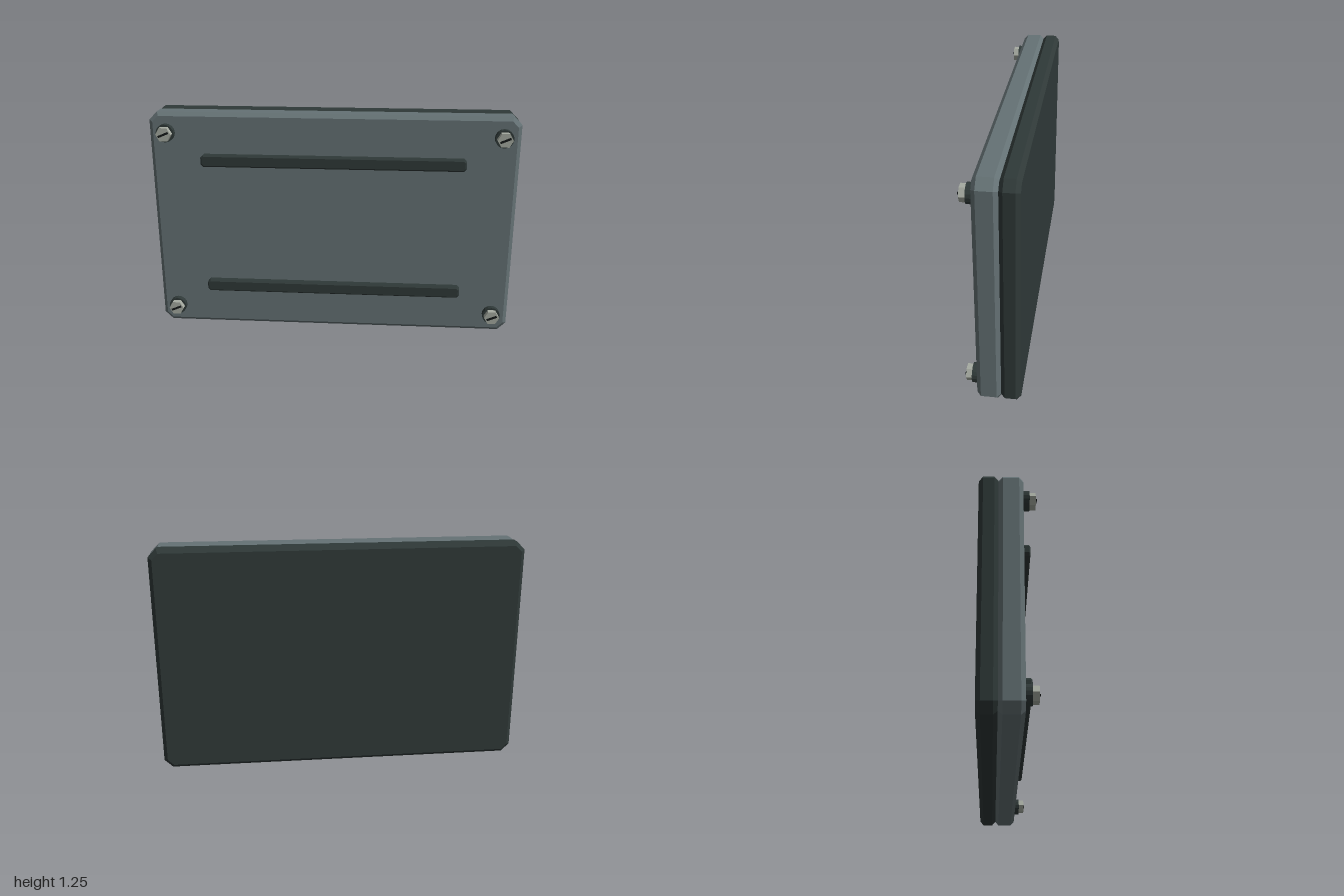
import * as THREE from 'three';

const steelGrey = (name, hex) => {
  const m = new THREE.MeshStandardMaterial({ color: hex });
  m.name = name;
  return m;
};

// Slab with cut corners and bevelled rims, from z = back to z = front
function slab(w, h, cut, bevel, back, front) {
  const x = w / 2, y = h / 2;
  const shape = new THREE.Shape([
    [-x + cut, -y], [x - cut, -y], [x, -y + cut], [x, y - cut],
    [x - cut, y], [-x + cut, y], [-x, y - cut], [-x, -y + cut],
  ].map(([px, py]) => new THREE.Vector2(px, py)));
  const geo = new THREE.ExtrudeGeometry(shape, {
    depth: front - back - 2 * bevel,
    bevelEnabled: true, bevelSegments: 1,
    bevelThickness: bevel, bevelSize: bevel, bevelOffset: -bevel,
  });
  return geo.translate(0, 0, back + bevel);
}

// Disc facing +z, from z = back to z = front
function disc(radius, sides, back, front) {
  return new THREE.CylinderGeometry(radius, radius, front - back, sides)
    .rotateX(Math.PI / 2)
    .rotateZ(Math.PI / 2)
    .translate(0, 0, (back + front) / 2);
}

export function createModel() {
  const model = new THREE.Group();
  model.name = 'panel';

  const plateGrey = steelGrey('plate grey', 0x657275);
  const darkGrey = steelGrey('dark grey', 0x2f3938);
  const boltSteel = steelGrey('bolt steel', 0xa6aba1);
  const slotBlack = steelGrey('slot black', 0x141919);
  for (const m of [plateGrey, darkGrey, boltSteel, slotBlack]) m.flatShading = true;

  const add = (parent, name, geo, mat, x = 0, y = 0) => {
    const mesh = new THREE.Mesh(geo, mat);
    mesh.name = name;
    mesh.position.set(x, y, 0);
    parent.add(mesh);
    return mesh;
  };

  // Two stacked plates
  const H = 1.25;
  add(model, 'frontPlate', slab(2, H, 0.045, 0.021, -0.045, 0.075), plateGrey, 0, H / 2);
  add(model, 'backPlate', slab(2, H, 0.045, 0.021, -0.14, -0.043), darkGrey, 0, H / 2);

  // Horizontal rails
  const railGeo = slab(1.436, 0.066, 0.014, 0.008, 0.073, 0.119);
  add(model, 'lowerRail', railGeo, darkGrey, 0, 0.253);
  add(model, 'upperRail', railGeo, darkGrey, 0, 0.993);

  // Corner bolts: washer, hexagonal head and tilted slot
  const washerGeo = disc(0.049, 16, 0.073, 0.106);
  const headGeo = disc(0.042, 6, 0.105, 0.136);
  const slotGeo = new THREE.BoxGeometry(0.06, 0.011, 0.008)
    .rotateZ(0.4)
    .translate(0, 0, 0.137);
  for (const x of [-0.907, 0.907]) {
    for (const y of [0.11, 1.14]) {
      const bolt = new THREE.Group();
      bolt.name = 'cornerBolt';
      bolt.position.set(x, y, 0);
      add(bolt, 'washer', washerGeo, darkGrey);
      add(bolt, 'hexHead', headGeo, boltSteel);
      add(bolt, 'slot', slotGeo, slotBlack);
      model.add(bolt);
    }
  }
  return model;
}
